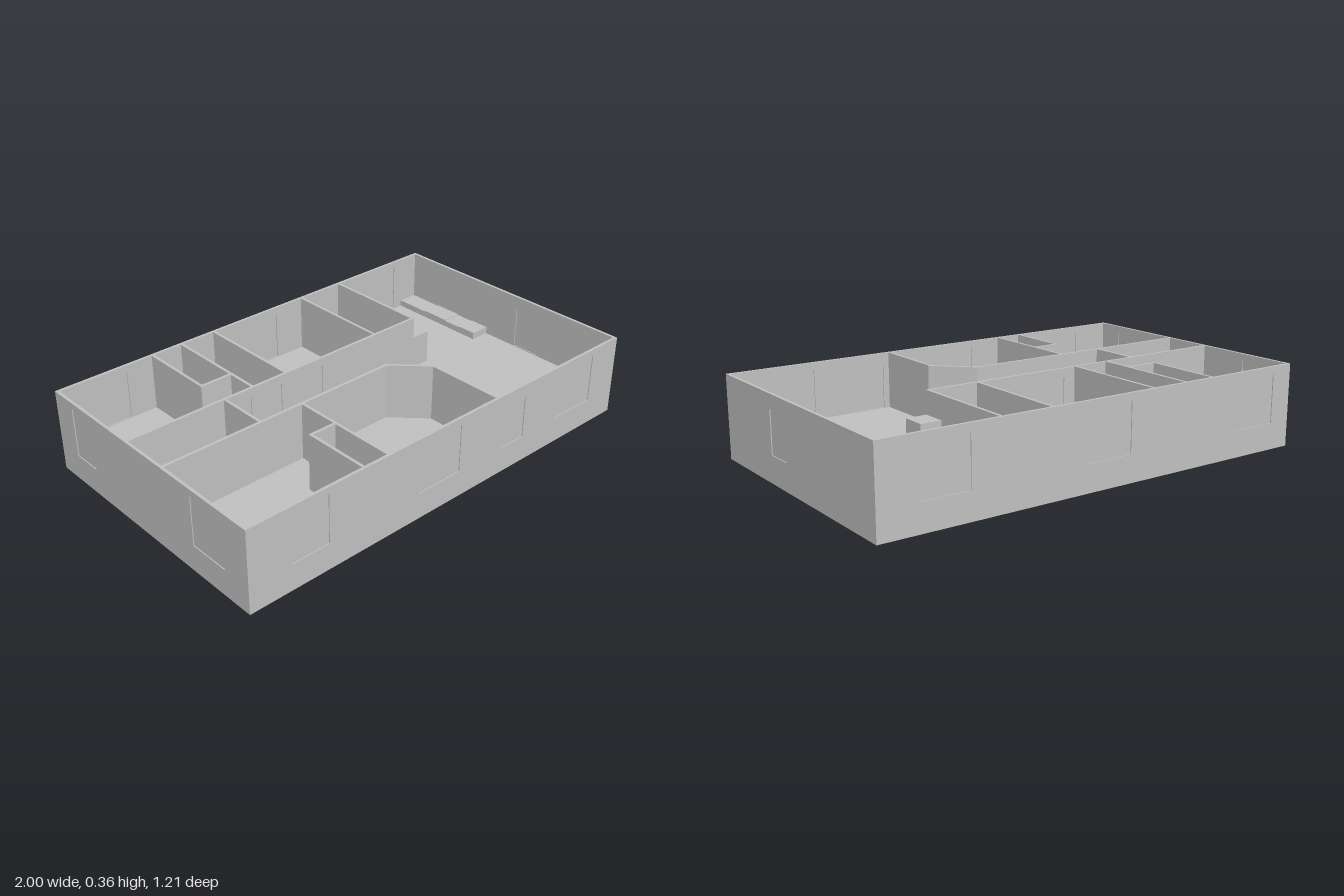
import * as THREE from 'three';

const H = 0.36;       // wall top
const FLOOR = 0.112;  // top of the slab
const SILL = 0.116;
const T = 0.013;      // wall thickness
const D = 0.605;      // half depth of the house

export function createModel() {
  const model = new THREE.Group();
  model.name = 'floorPlan';
  const plaster = new THREE.MeshStandardMaterial({ color: 0xc0c0c0 });
  plaster.name = 'plasterGrey';

  function box(name, x1, x2, y1, y2, z1, z2, parent = model) {
    const mesh = new THREE.Mesh(new THREE.BoxGeometry(x2 - x1, y2 - y1, z2 - z1), plaster);
    mesh.position.set((x1 + x2) / 2, (y1 + y2) / 2, (z1 + z2) / 2);
    mesh.name = name;
    parent.add(mesh);
  }

  // Wall along a centre line; each opening is [start, end, top] and holds a thin pane
  function wall(name, [x1, z1], [x2, z2], base, openings = []) {
    const length = Math.hypot(x2 - x1, z2 - z1);
    const group = new THREE.Group();
    group.name = name;
    const rect = (path, a, b, c, d) => {
      path.moveTo(a, c);
      path.lineTo(b, c);
      path.lineTo(b, d);
      path.lineTo(a, d);
      path.closePath();
      return path;
    };
    const shape = rect(new THREE.Shape(), 0, length, base, H);
    for (const [a, b, top] of openings) {
      shape.holes.push(rect(new THREE.Path(), a, b, SILL, top));
      box('pane', a, b, SILL, top, -0.0025, 0.0025, group);
    }
    const geometry = new THREE.ExtrudeGeometry(shape, { depth: T, bevelEnabled: false });
    geometry.translate(0, 0, -T / 2);
    const mesh = new THREE.Mesh(geometry, plaster);
    mesh.name = name + 'Body';
    group.add(mesh);
    group.position.set(x1, 0, z1);
    group.rotation.y = Math.atan2(z1 - z2, x2 - x1);
    model.add(group);
  }

  // Floor slab
  box('floorSlab', -1 + T / 2, 1 - T / 2, 0, FLOOR, -D + T / 2, D - T / 2);

  // Outer walls with recessed windows and doors
  const ex = 1 - T / 2, ez = D - T / 2;
  const alongX = (list) => list.map(([a, b, top]) => [a + 1, b + 1, top]);
  const alongZ = (list) => list.map(([a, b, top]) => [a + ez, b + ez, top]);
  wall('frontWall', [-1, ez], [1, ez], 0, alongX([
    [-0.81, -0.635, 0.33], [-0.19, 0.035, 0.33], [0.28, 0.41, 0.3], [0.615, 0.84, 0.33]]));
  wall('backWall', [-1, -ez], [1, -ez], 0, alongX([
    [-0.9, -0.68, 0.33], [-0.115, 0.107, 0.33], [0.62, 0.845, 0.33]]));
  wall('leftWall', [ex, -ez], [ex, ez], 0, alongZ([[0.065, 0.195, 0.3]]));
  wall('rightWall', [-ex, -ez], [-ex, ez], 0, alongZ([[-0.485, -0.35, 0.33], [0.29, 0.475, 0.33]]));

  // Corridor walls
  wall('backCorridorWall', [-ex, -0.111], [0.491, -0.111], FLOOR, [
    [0.47, 0.575, 0.32], [0.61, 0.73, 0.32], [0.82, 0.95, 0.32]]);
  wall('frontCorridorWall', [-ex, 0.115], [0.11, 0.115], FLOOR);
  wall('diagonalWall', [0.105, 0.111], [0.252, 0.258], FLOOR);
  wall('corridorEndWall', [-0.545, -0.111], [-0.545, 0.115], FLOOR);

  // Partitions of the back rooms
  for (const x of [-0.404, -0.235, 0.258, 0.485]) {
    wall('backPartition', [x, -ez], [x, -0.111], FLOOR);
  }
  wall('backClosetSide', [-0.55, -ez], [-0.55, -0.246], FLOOR);
  wall('backClosetFront', [-0.556, -0.252], [-0.404, -0.252], FLOOR);

  // Partitions of the front rooms
  wall('frontPartition', [-0.342, 0.115], [-0.342, ez], FLOOR);
  wall('livingRoomPartition', [0.246, 0.252], [0.246, ez], FLOOR);
  wall('frontClosetSide', [-0.463, 0.305], [-0.463, ez], FLOOR);
  wall('frontClosetBack', [-0.469, 0.309], [-0.342, 0.309], FLOOR);

  // Kitchen rows: each unit is [z start, z end, top]
  const rows = [
    [0.49, 0.583, [[-0.6, -0.51, 0.138], [-0.51, -0.44, 0.142], [-0.44, -0.213, 0.138], [-0.213, -0.107, 0.262]]],
    [0.895, 0.99, [[-0.6, -0.42, 0.14], [-0.42, -0.29, 0.144], [-0.29, -0.2, 0.14], [-0.2, -0.107, 0.144]]],
  ];
  for (const [x1, x2, units] of rows) {
    for (const [z1, z2, top] of units) box('kitchenUnit', x1, x2, FLOOR - 0.004, top, z1, z2);
  }
  return model;
}
